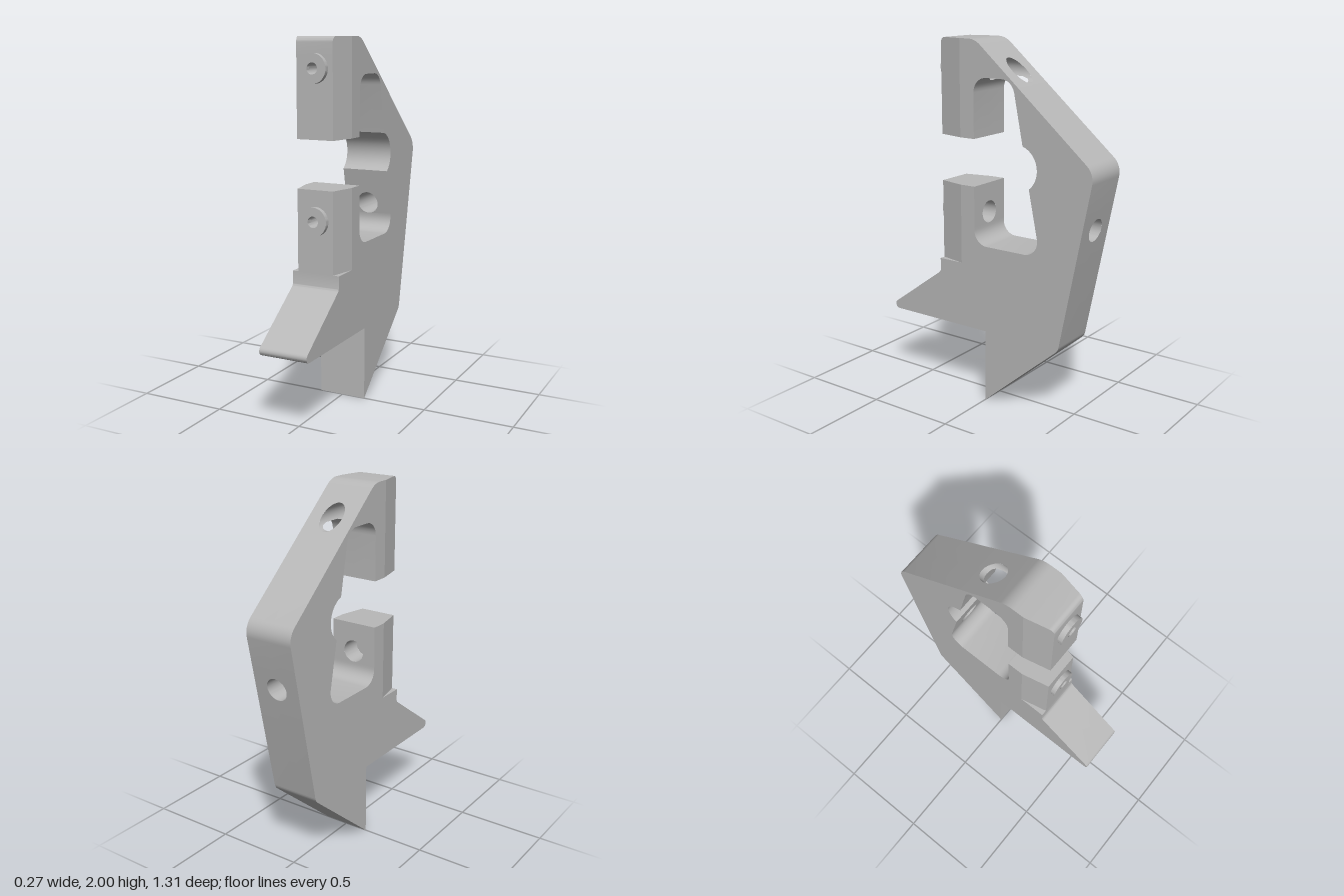
import * as THREE from 'three';
import { toCreasedNormals } from 'three/addons/utils/BufferGeometryUtils.js';

const W = 0.137;                       // half width of the body
const CH = { z: 0.16, y: 0.78, front: 0.31, w: 0.104 };   // jaw chamfer
const BORES = [1.84, 1.058], R = 0.062, PILOT = 0.03, FLOOR = 0.19;
const CEILING = 1.805;                 // roof of the slot, cut by the upper bore

// Bore angles, with extra steps where the upper bore meets the slot roof
const angles = Array.from({ length: 25 }, (_, i) => -Math.PI / 2 + i * Math.PI / 12);
const cut = Math.asin((CEILING - BORES[0]) / R);
angles.push(cut, Math.PI - cut);
angles.sort((a, b) => a - b);

// Corners as [z, y, radius], counter-clockwise
function corners() {
  const bump = [];
  for (let i = 0; i <= 12; i++) {
    const a = THREE.MathUtils.degToRad(232 - (125 * i) / 12);
    bump.push([-0.204 + 0.126 * Math.cos(a), 1.353 + 0.126 * Math.sin(a)]);
  }
  return [
    [0.31, 1.48], [0.31, 2, 0.03], [0.16, 2], [0.061, 2, 0.12],
    [-0.664, 1.38, 0.1], [-0.473, 0.41, 0.06], [0, 0], [0, 0.412],
    [0.708, 0.412, 0.025], [0.31, 0.703, 0.03], [0.31, 0.78], [0.31, 1.222],
    [0.16, 1.222], [0.07, 1.222], [0.07, 0.9, 0.08], [-0.354, 0.9, 0.08],
    ...bump, [-0.175, CEILING, 0.08], [0.07, CEILING, 0.08], [0.07, 1.48], [0.16, 1.48],
  ];
}

function roundCorners(list) {
  const out = [];
  list.forEach(([z, y, r], i) => {
    const p = new THREE.Vector2(z, y);
    if (!r) { out.push(p); return; }
    const n = list.length, a = list[(i + n - 1) % n], b = list[(i + 1) % n];
    const u = new THREE.Vector2(a[0] - z, a[1] - y).normalize();
    const v = new THREE.Vector2(b[0] - z, b[1] - y).normalize();
    const half = Math.acos(u.dot(v)) / 2, t = r / Math.tan(half);
    const c = p.clone().addScaledVector(u.clone().add(v).normalize(), r / Math.sin(half));
    const s = p.clone().addScaledVector(u, t).sub(c), e = p.clone().addScaledVector(v, t).sub(c);
    const sweep = Math.atan2(s.cross(e), s.dot(e));
    for (let k = 0; k <= 8; k++) {
      out.push(s.clone().rotateAround(new THREE.Vector2(), (sweep * k) / 8).add(c));
    }
  });
  return out;
}

// Add points on the outline at every height where a bore edge has a step
function subdivide(pts) {
  const levels = [];
  for (const y of BORES) for (const r of [R, PILOT]) for (const a of angles) levels.push(y + r * Math.sin(a));
  levels.sort((a, b) => a - b);
  const out = [];
  pts.forEach((p, i) => {
    const q = pts[(i + 1) % pts.length];
    out.push(p);
    const lo = Math.min(p.y, q.y), hi = Math.max(p.y, q.y);
    const ys = levels.filter((y, k) => y > lo + 1e-5 && y < hi - 1e-5 && (k === 0 || y - levels[k - 1] > 1e-6));
    if (p.y > q.y) ys.reverse();
    ys.forEach((y) => out.push(p.clone().lerp(q, (y - p.y) / (q.y - p.y))));
  });
  return out;
}

const halfWidth = (z, chamfered) => chamfered && z > CH.z
  ? W - ((W - CH.w) * (z - CH.z)) / (CH.front - CH.z) : W;

// Half the opening a bore leaves in the wall at a point of the outline
function chord(p) {
  const r = p.x > 0.2 ? PILOT : R;
  return Math.max(...BORES.map((y) => Math.sqrt(Math.max(0, r * r - (p.y - y) ** 2))));
}

function geometryOf(pos) {
  const g = new THREE.BufferGeometry();
  g.setAttribute('position', new THREE.Float32BufferAttribute(pos, 3));
  g.computeVertexNormals();
  return g;
}
const quad = (pos, a, b, c, d) => pos.push(...a, ...b, ...c, ...a, ...c, ...d);

// Walls running across the body along the outline
function wallGeometry(pts) {
  const pos = [];
  pts.forEach((p, i) => {
    const q = pts[(i + 1) % pts.length], ch = (p.y + q.y) / 2 > CH.y;
    const wp = halfWidth(p.x, ch), wq = halfWidth(q.x, ch), cp = chord(p), cq = chord(q);
    quad(pos, [-wp, p.y, p.x], [-cp, p.y, p.x], [-cq, q.y, q.x], [-wq, q.y, q.x]);
    quad(pos, [cp, p.y, p.x], [wp, p.y, p.x], [wq, q.y, q.x], [cq, q.y, q.x]);
  });
  return toCreasedNormals(geometryOf(pos), 0.4);
}

// Flat side faces, the jaw chamfers and the small ledges under them
function sideGeometry(pts) {
  const pos = [], e = 1e-6;
  const inner = new THREE.Vector2(CH.z, CH.y);
  const main = [], upper = [], lower = [inner];
  pts.forEach((p) => {
    if (!(p.x > CH.z + e && p.y > CH.y + e)) main.push(p);
    if (Math.abs(p.x - CH.front) < e && Math.abs(p.y - CH.y) < e) main.push(inner);
    if (p.x > CH.z - e && p.y > 1.4) upper.push(p);
    if (p.x > CH.z - e && p.y > CH.y - e && p.y < 1.4) lower.push(p);
  });
  [[main, false], [upper, true], [lower, true]].forEach(([poly, ch]) => {
    for (const [a, b, c] of THREE.ShapeUtils.triangulateShape(poly, [])) {
      const at = (k, s) => [s * halfWidth(poly[k].x, ch), poly[k].y, poly[k].x];
      pos.push(...at(a, -1), ...at(b, -1), ...at(c, -1), ...at(a, 1), ...at(c, 1), ...at(b, 1));
    }
  });
  const y = CH.y, f = CH.front;
  pos.push(W, y, CH.z, CH.w, y, f, W, y, f, -W, y, CH.z, -W, y, f, -CH.w, y, f);
  return geometryOf(pos);
}

// Depths at which the outline is crossed at a given height
function crossings(pts, y) {
  const out = [];
  pts.forEach((p, i) => {
    const q = pts[(i + 1) % pts.length];
    if ((p.y > y) !== (q.y > y)) out.push(p.x + ((q.x - p.x) * (y - p.y)) / (q.y - p.y));
  });
  return out.sort((a, b) => a - b);
}

// Inner surface of a bore, present only where there is solid around it
function boreGeometry(pts, yc, r, isPilot) {
  const pos = [];
  for (let i = 0; i < angles.length - 1; i++) {
    const ends = [angles[i], angles[i + 1]].map((a) => [r * Math.cos(a), yc + r * Math.sin(a)]);
    const mid = (ends[0][1] + ends[1][1]) / 2;
    const [s, t] = ends.map(([, y]) => {
      if (isPilot) return [FLOOR, CH.front];
      const zs = crossings(pts, y + (mid - y) * 0.001);
      zs[zs.length - 1] = FLOOR;
      return zs;
    });
    const [A, B] = ends;
    for (let k = 0; k + 1 < Math.min(s.length, t.length); k += 2) {
      quad(pos, [...A, s[k]], [...A, s[k + 1]], [...B, t[k + 1]], [...B, t[k]]);
    }
  }
  return toCreasedNormals(geometryOf(pos), 0.4);
}

export function createModel() {
  const grey = new THREE.MeshStandardMaterial({ color: 0xb8b8b8 });
  grey.name = 'grey';
  const group = new THREE.Group();
  group.name = 'clampHook';
  const add = (name, geometry) => {
    const mesh = new THREE.Mesh(geometry, grey);
    mesh.name = name;
    group.add(mesh);
    return mesh;
  };

  const outline = subdivide(roundCorners(corners()));
  add('bodyWalls', wallGeometry(outline));
  add('bodySides', sideGeometry(outline));

  // Stepped screw bores, each ending in a raised ring on the jaw front
  const ring = new THREE.Shape().absarc(0, 0, 0.077, 0, Math.PI * 2);
  ring.holes.push(new THREE.Path().absarc(0, 0, PILOT, 0, Math.PI * 2, true));
  const boss = new THREE.ExtrudeGeometry(ring, { depth: 0.027, bevelEnabled: false, curveSegments: 32 });
  BORES.forEach((y, i) => {
    const side = i === 0 ? 'upper' : 'lower';
    add(side + 'Bore', boreGeometry(outline, y, R, false));
    add(side + 'PilotHole', boreGeometry(outline, y, PILOT, true));
    const floor = add(side + 'BoreFloor', new THREE.RingGeometry(PILOT, R, 24));
    floor.rotation.y = Math.PI;
    floor.position.set(0, y, FLOOR);
    add(side + 'Boss', toCreasedNormals(boss, 0.5)).position.set(0, y, CH.front);
  });
  return group;
}
